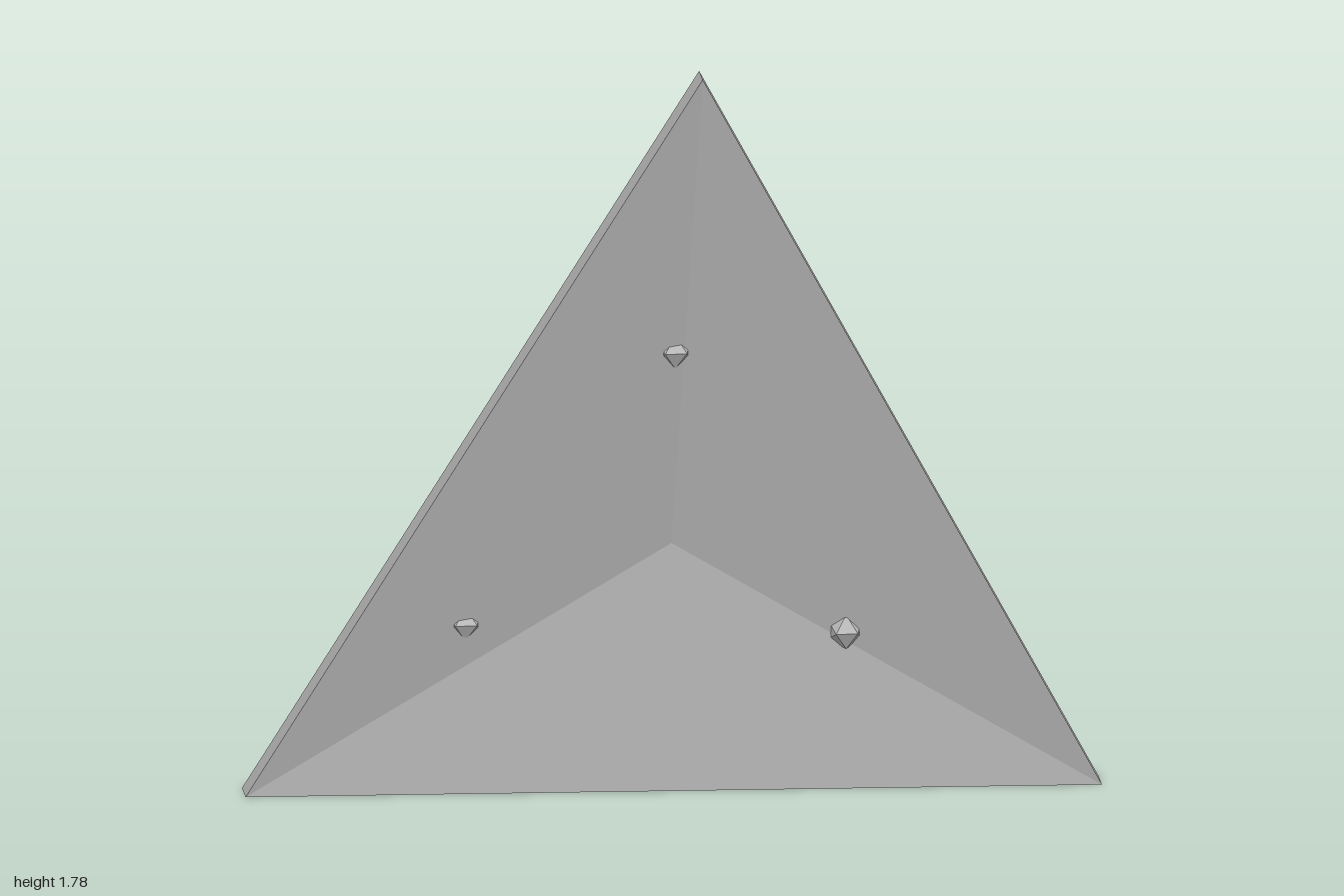
import * as THREE from 'three';

const grey = new THREE.MeshStandardMaterial({ color: 0xb0b0b0, flatShading: true });
grey.name = 'grey';

// Shallow three-sided dish: rim corners plus a sunken centre, constant depth in z
function dishGeometry() {
  const depth = 0.074;
  const rim = [[-1, 0, -0.073], [1, 0, 0.057], [0.05, 1.78, 0.147]];
  const centre = [0, 0.59, -0.058];
  const back = ([x, y, z]) => [x, y, z - depth];
  const corners = [];
  for (let i = 0; i < 3; i++) {
    const a = rim[i], b = rim[(i + 1) % 3];
    corners.push(a, b, centre); // hollow front
    corners.push(back(b), back(a), back(centre)); // raised back
    corners.push(a, back(a), back(b), a, back(b), b); // rim edge
  }
  const g = new THREE.BufferGeometry();
  g.setAttribute('position', new THREE.Float32BufferAttribute(corners.flat(), 3));
  g.computeVertexNormals();
  return g;
}

export function createModel() {
  const model = new THREE.Group();
  model.name = 'triangularDish';

  const dish = new THREE.Mesh(dishGeometry(), grey);
  dish.name = 'dish';
  model.add(dish);

  // Faceted studs set through the dish, one near each corner
  const studGeometry = new THREE.IcosahedronGeometry(0.0485, 0);
  studGeometry.rotateZ(Math.PI / 2);
  studGeometry.scale(1, 1, 1.2);
  const studs = {
    topStud: [0, 1.08, -0.01],
    rightStud: [-0.485, 0.41, -0.087],
    leftStud: [0.405, 0.375, -0.035],
  };
  for (const [name, position] of Object.entries(studs)) {
    const stud = new THREE.Mesh(studGeometry, grey);
    stud.name = name;
    stud.position.set(...position);
    model.add(stud);
  }
  return model;
}
